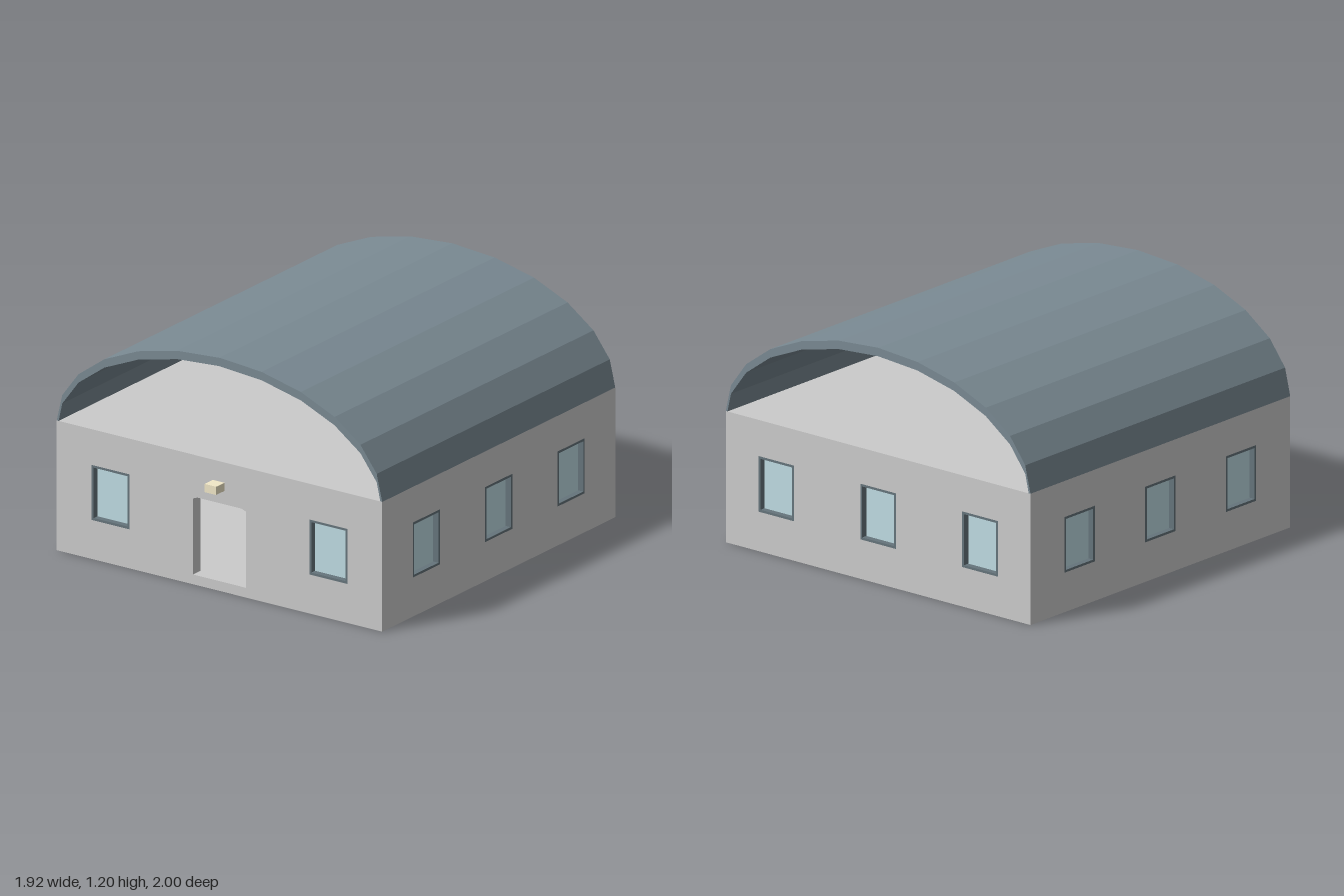
import * as THREE from 'three';

const W = 1.92;               // building width (x)
const Z0 = -1, Z1 = 0.925;    // back and front faces
const D = Z1 - Z0, ZC = (Z0 + Z1) / 2;
const T = 0.065;              // wall thickness
const FLOOR = 0.05, EAVE = 0.62, TOP = 0.665;
const WIN = { w: 0.224, y0: 0.2, y1: 0.482, frame: 0.012 };

const material = (color, side = THREE.FrontSide) =>
  new THREE.MeshStandardMaterial({ color, side });
const wallMat = material(0xcccccc);
const roofMat = material(0x7a8a93, THREE.DoubleSide);
const frameMat = material(0x66757c);
const glassMat = material(0xc0dde4);
const lampMat = material(0xf2e8c8);

function add(parent, name, geometry, mat, x = 0, y = 0, z = 0) {
  const mesh = new THREE.Mesh(geometry, mat);
  mesh.name = name;
  mesh.position.set(x, y, z);
  parent.add(mesh);
  return mesh;
}

const poly = (pts, Type = THREE.Shape) => new Type(pts.map(p => new THREE.Vector2(...p)));
const rect = (x0, y0, x1, y1) => [[x0, y0], [x1, y0], [x1, y1], [x0, y1]];
const extrude = (shape, depth) =>
  new THREE.ExtrudeGeometry(shape, { depth, bevelEnabled: false });

// Dark frame lining the wall opening, with a recessed pane
function addWindow(parent, x) {
  const { w, y0, y1, frame: f } = WIN;
  const ring = poly(rect(-w / 2, y0, w / 2, y1));
  ring.holes.push(poly(rect(-w / 2 + f, y0 + f, w / 2 - f, y1 - f), THREE.Path));
  add(parent, 'windowFrame', extrude(ring, T), frameMat, x, 0, -T);
  add(parent, 'windowGlass', new THREE.BoxGeometry(w - 2 * f, y1 - y0 - 2 * f, 0.01),
    glassMat, x, (y0 + y1) / 2, -T * 0.55);
}

// Wall whose outer face lies on its local z = 0, with window openings and an optional door
function addWall(parent, name, width, windows, door) {
  const group = new THREE.Group();
  group.name = name;
  const h = width / 2;
  let outline = rect(-h, FLOOR, h, EAVE);
  if (door) {
    // door notch with clipped upper corners
    outline = [[-h, FLOOR], [-0.157, FLOOR], [-0.157, 0.44], [-0.13, 0.45], [0.13, 0.45],
      [0.157, 0.44], [0.157, FLOOR], [h, FLOOR], [h, EAVE], [-h, EAVE]];
  }
  const shape = poly(outline);
  for (const x of windows) {
    shape.holes.push(poly(rect(x - WIN.w / 2, WIN.y0, x + WIN.w / 2, WIN.y1), THREE.Path));
    addWindow(group, x);
  }
  add(group, 'wallPanel', extrude(shape, T), wallMat, 0, 0, -T);
  parent.add(group);
  return group;
}

export function createModel() {
  const model = new THREE.Group();
  model.name = 'archedHall';

  // Floor and ceiling slabs
  add(model, 'floorSlab', new THREE.BoxGeometry(W, FLOOR, D), wallMat, 0, FLOOR / 2, ZC);
  add(model, 'ceilingSlab', new THREE.BoxGeometry(W, TOP - EAVE, D), wallMat,
    0, (TOP + EAVE) / 2, ZC);

  // Walls: front with door, back, and the two sides between them
  addWall(model, 'frontWall', W, [-0.642, 0.642], true).position.z = Z1;
  const back = addWall(model, 'backWall', W, [-0.642, 0, 0.642], false);
  back.position.z = Z0;
  back.rotation.y = Math.PI;
  for (const s of [-1, 1]) {
    const side = addWall(model, s > 0 ? 'leftWall' : 'rightWall', D - 2 * T,
      [-0.598, 0, 0.598], false);
    side.position.set(s * W / 2, 0, ZC);
    side.rotation.y = s * Math.PI / 2;
  }

  // Faceted barrel roof, open at both ends
  const N = 12, outer = [], inner = [];
  for (let i = 0; i <= N; i++) {
    const a = Math.PI * i / N;
    const x = W / 2 * Math.cos(a), y = TOP + 0.53 * Math.sin(a);
    outer.push([x, y]);
    inner.unshift(i % N ? [x, y - 0.043] : [Math.sign(x) * 0.949, TOP]);
  }
  add(model, 'barrelRoof', extrude(poly([...outer, ...inner]), D), roofMat, 0, 0, Z0);

  // Lamp over the door
  add(model, 'doorLamp', new THREE.BoxGeometry(0.068, 0.042, 0.068), lampMat, 0, 0.543, 0.966);

  return model;
}
